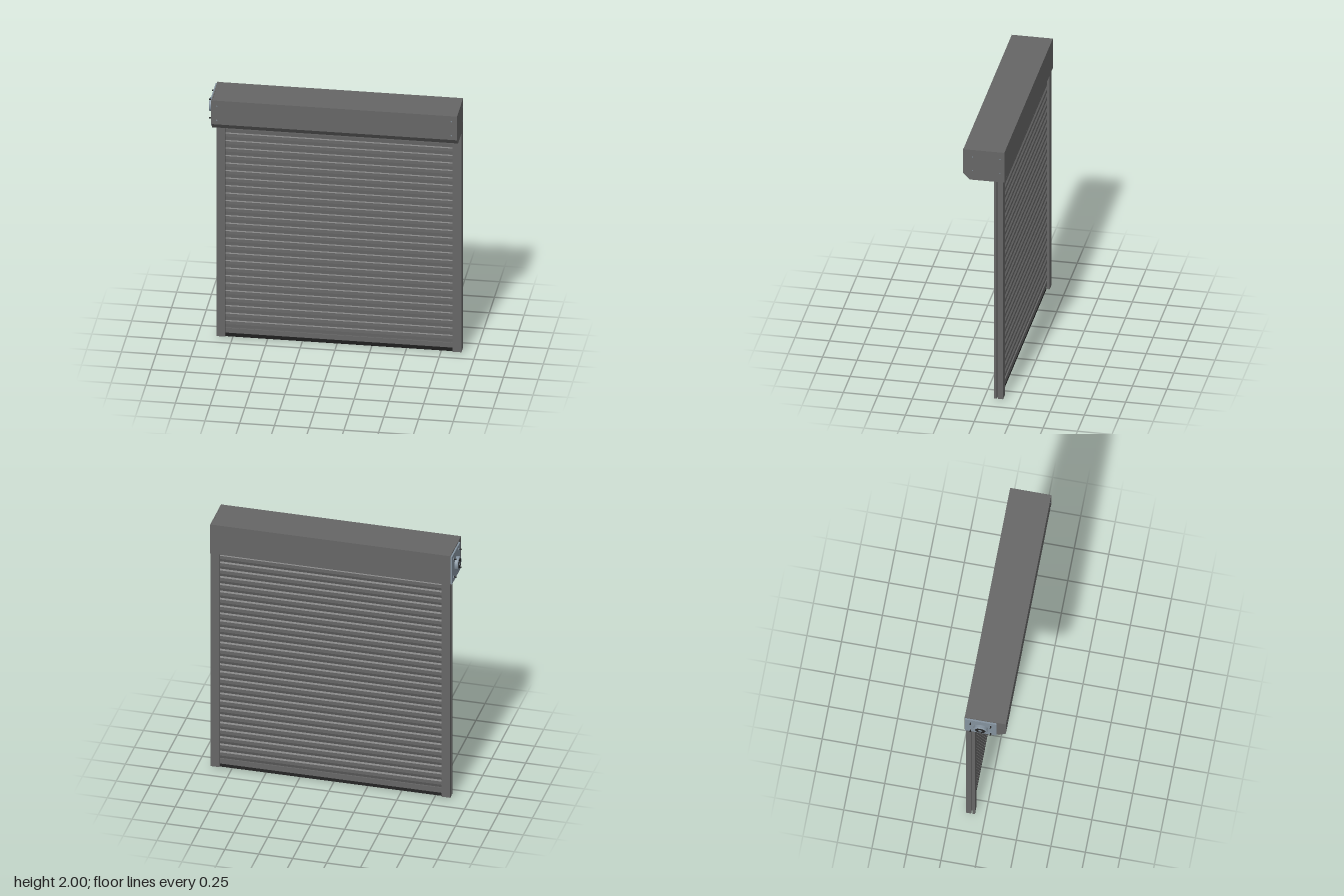
import * as THREE from 'three';

const paint = (name, color) => {
  const m = new THREE.MeshStandardMaterial({ color });
  m.name = name;
  return m;
};

export function createModel() {
  const grey = paint('grey paint', 0x666666);
  const steel = paint('steel', 0x84929e);
  const rubber = paint('black rubber', 0x242424);
  const root = new THREE.Group();
  root.name = 'rollerShutter';
  const CX = 0.0175; // middle of the curtain; the drive sticks out on one side

  const add = (name, geometry, material, x = 0, y = 0, z = 0) => {
    const mesh = new THREE.Mesh(geometry, material);
    mesh.name = name;
    mesh.position.set(x, y, z);
    root.add(mesh);
    return mesh;
  };
  const box = (name, material, x0, x1, y0, y1, z0, z1) =>
    add(name, new THREE.BoxGeometry(x1 - x0, y1 - y0, z1 - z0), material,
      (x0 + x1) / 2, (y0 + y1) / 2, (z0 + z1) / 2);
  const extrude = (points, depth) => new THREE.ExtrudeGeometry(
    new THREE.Shape(points.map(([a, b]) => new THREE.Vector2(a, b))),
    { depth, bevelEnabled: false });
  // Section given as [z, y], swept along x
  const alongX = (points, width) =>
    extrude(points.map(([z, y]) => [-z, y]), width).rotateY(Math.PI / 2);
  // Section given as [x, z], swept along y
  const alongY = (points, height) =>
    extrude(points.map(([x, z]) => [x, -z]), height).rotateX(-Math.PI / 2);
  const disc = (name, material, r, x0, x1, y, z, sides = 32) =>
    add(name, new THREE.CylinderGeometry(r, r, x1 - x0, sides).rotateZ(Math.PI / 2),
      material, (x0 + x1) / 2, y, z);

  // Housing with a chamfered lower front edge, and a slightly larger cap at each end
  const housing = (g) => [[-0.15 + g, 1.76 + g], [0.1 - g * 0.4, 1.76 + g],
    [0.15 - g, 1.81 + g * 0.4], [0.15 - g, 2 - g], [-0.15 + g, 2 - g]];
  add('housing', alongX(housing(0.001), 1.755), grey, -0.86);
  add('endCapRight', alongX(housing(0), 0.008), grey, -0.868);
  add('endCapLeft', alongX(housing(0), 0.008), grey, 0.893);

  // Guide rails: slotted inward for the slats and outward at the side
  for (const s of [-1, 1]) {
    const section = [[0.8825, -0.075], [0.8825, -0.094], [0.86, -0.094], [0.86, -0.103],
      [0.8825, -0.103], [0.8825, -0.14], [0.818, -0.14], [0.818, -0.119],
      [0.848, -0.119], [0.848, -0.094], [0.818, -0.094], [0.818, -0.075]];
    add(s < 0 ? 'guideRight' : 'guideLeft',
      alongY(section.map(([x, z]) => [s * x, z]), 1.75), grey, CX, 0.012);
  }

  // Curtain of hooked slats
  const pitch = 0.0597;
  const slat = alongX([[-0.104, 0], [-0.104, 0.006], [-0.098, 0.009], [-0.0965, 0.03],
    [-0.098, 0.054], [-0.104, pitch], [-0.108, pitch], [-0.117, 0.05],
    [-0.117, 0.024], [-0.108, 0]], 1.684);
  for (let i = 0; i < 29; i++) add('slat', slat, grey, CX - 0.842, 0.0715 + i * pitch);

  // Bottom bar and floor seal
  box('bottomBar', grey, -0.8245, 0.8595, 0.03, 0.0715, -0.117, -0.097);
  add('bottomSeal', alongX([[-0.108, 0], [-0.102, 0.004], [-0.0945, 0.034],
    [-0.114, 0.034], [-0.114, 0.004]], 1.67), rubber, CX - 0.835);

  // Drive mounting plate, bearing and bolts
  const my = 1.88, mz = -0.03;
  box('mountPlate', steel, -0.88, -0.868, 1.768, 1.99, -0.145, 0.083);
  const ring = new THREE.LatheGeometry([[0.024, 0], [0.051, 0], [0.051, 0.021],
    [0.047, 0.025], [0.028, 0.025], [0.024, 0.021], [0.024, 0]]
    .map(([r, h]) => new THREE.Vector2(r, h)), 40).toNonIndexed();
  ring.computeVertexNormals();
  ring.rotateZ(Math.PI / 2);
  add('bearingRing', ring, steel, -0.88, my, mz);
  disc('bearingFace', rubber, 0.038, -0.9056, -0.9045, my, mz);
  disc('shaftEnd', steel, 0.016, -0.907, -0.88, my, mz, 6);
  for (const dy of [-0.073, 0.073]) for (const dz of [-0.073, 0.073]) {
    disc('plateWasher', steel, 0.01, -0.884, -0.88, my + dy, mz + dz, 16);
    disc('plateBolt', rubber, 0.005, -0.9, -0.884, my + dy, mz + dz, 6);
  }

  // Small screws on the housing front and the plain end
  const screw = new THREE.CylinderGeometry(0.004, 0.004, 0.004, 12);
  for (const y of [1.845, 1.957]) for (const x of [-0.828, 0.86])
    add('frontScrew', screw, steel, x, y, 0.15).rotation.x = Math.PI / 2;
  for (const y of [1.833, 1.945]) for (const z of [0.082, -0.117])
    add('endScrew', screw, steel, 0.901, y, z).rotation.z = Math.PI / 2;

  return root;
}
